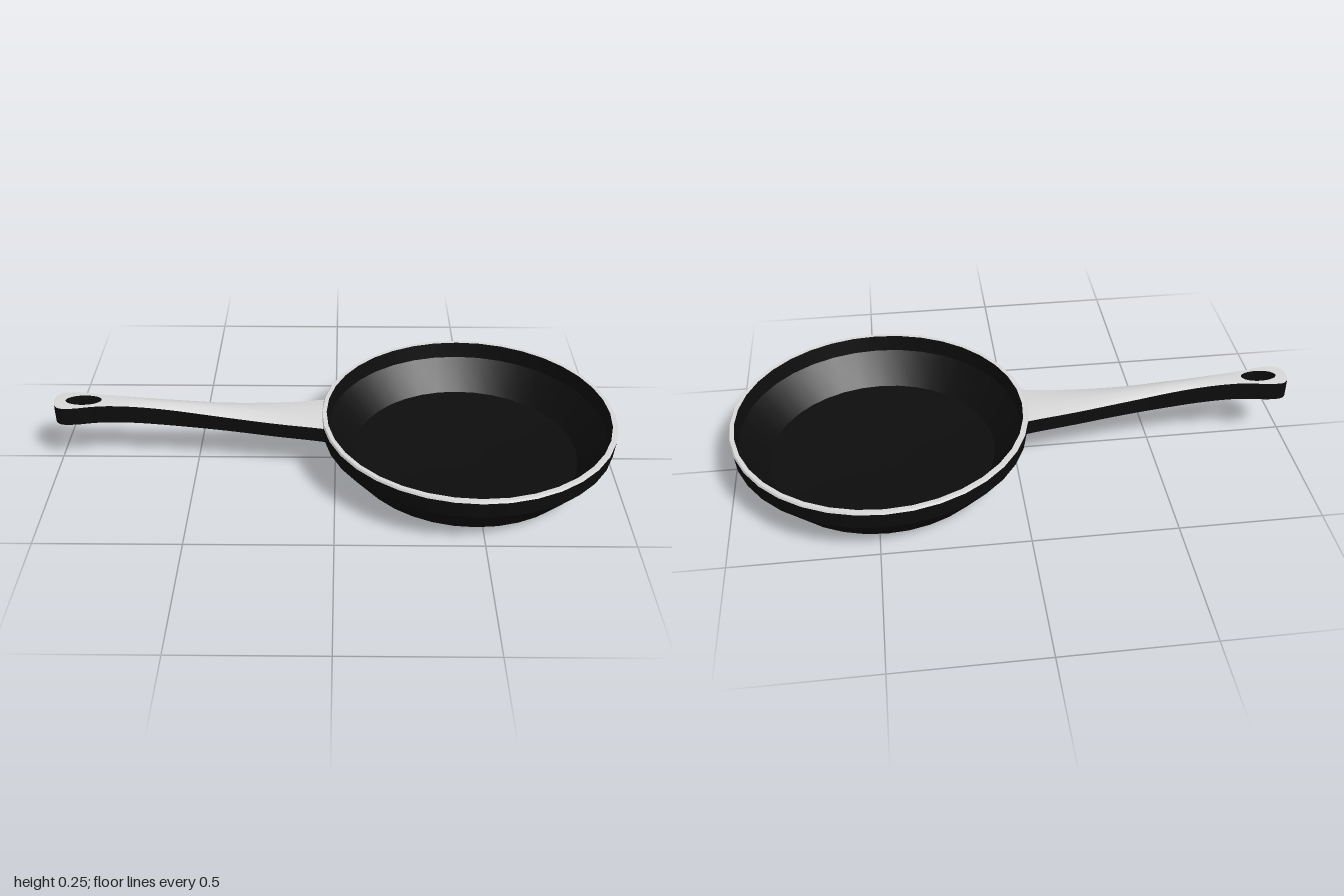
import * as THREE from 'three';
import { toCreasedNormals } from 'three/addons/utils/BufferGeometryUtils.js';

const CENTRE = 0.475; // pan centre on x

const black = new THREE.MeshStandardMaterial({ color: 0x0d0d0d });
black.name = 'black coating';
const steel = new THREE.MeshStandardMaterial({ color: 0xd8d8d8 });
steel.name = 'pale metal';

// Smooth curve through [x, value] points, evaluated at x (Hermite with averaged slopes)
function curve(pts) {
  const slope = (i) => {
    const a = pts[Math.max(i - 1, 0)], b = pts[Math.min(i + 1, pts.length - 1)];
    return (b[1] - a[1]) / (b[0] - a[0]);
  };
  return (x) => {
    let i = 0;
    while (i < pts.length - 2 && x > pts[i + 1][0]) i++;
    const [x0, y0] = pts[i], [x1, y1] = pts[i + 1], w = x1 - x0;
    const t = THREE.MathUtils.clamp((x - x0) / w, 0, 1), s = 1 - t;
    return y0 * (1 + 2 * t) * s * s + y1 * t * t * (3 - 2 * t)
      + w * (slope(i) * t * s * s - slope(i + 1) * t * t * s);
  };
}

// Handle profiles along x
const X0 = -1, X1 = -0.034;
const topMiddle = curve([[-1, 0.243], [-0.8, 0.245], [-0.6, 0.236], [-0.4, 0.218], [-0.2, 0.202], [-0.03, 0.197]]);
const topEdge = curve([[-1, 0.242], [-0.8, 0.242], [-0.6, 0.227], [-0.4, 0.206], [-0.2, 0.193], [-0.03, 0.19]]);
const underside = curve([[-1, 0.175], [-0.8, 0.174], [-0.6, 0.162], [-0.4, 0.15], [-0.2, 0.139], [-0.03, 0.135]]);
const widths = curve([[-0.96, 0.055], [-0.92, 0.054], [-0.86, 0.043], [-0.8, 0.036], [-0.7, 0.032],
  [-0.6, 0.034], [-0.4, 0.048], [-0.2, 0.072], [-0.1, 0.086], [-0.03, 0.098]]);
const outer = (x) => x < -0.96
  ? 0.055 * Math.pow(Math.max(0, 1 - ((-0.96 - x) / 0.04) ** 2), 0.4)
  : widths(x);
const HOLE = { x: -0.896, rx: 0.064, rz: 0.031 };
const inner = (x) => HOLE.rz * Math.sqrt(Math.max(0, 1 - ((x - HOLE.x) / HOLE.rx) ** 2));

// Stations crowd together at the rounded tip and at both ends of the hole
function stations() {
  const list = [];
  const span = (a, b, n) => {
    for (let i = 0; i < n; i++) list.push(a + (b - a) * (1 - Math.cos(Math.PI * i / n)) / 2);
  };
  span(X0, HOLE.x - HOLE.rx, 12);
  span(HOLE.x - HOLE.rx, HOLE.x + HOLE.rx, 20);
  span(HOLE.x + HOLE.rx, X1, 28);
  list.push(X1);
  return list;
}

// Grid over stations and a cross parameter v; side mirrors it in z
function strip(xs, nv, point, side, flip) {
  const pos = [], index = [];
  for (const x of xs) for (let j = 0; j <= nv; j++) {
    const [y, z] = point(x, j / nv);
    pos.push(x, y, z * side);
  }
  for (let i = 0; i < xs.length - 1; i++) for (let j = 0; j < nv; j++) {
    const a = i * (nv + 1) + j, b = a + 1, c = a + nv + 1, d = c + 1;
    if ((side > 0) !== flip) index.push(a, b, c, b, d, c);
    else index.push(a, c, b, b, c, d);
  }
  const g = new THREE.BufferGeometry();
  g.setAttribute('position', new THREE.Float32BufferAttribute(pos, 3));
  g.setIndex(index);
  g.computeVertexNormals();
  return g;
}

function topPoint(x, v) {
  const i = inner(x), o = outer(x), z = i + (o - i) * v;
  const k = o > 0 ? z / o : 1;
  return [THREE.MathUtils.lerp(topMiddle(x), topEdge(x), k * k), z];
}

function add(group, name, geometry, material) {
  const mesh = new THREE.Mesh(geometry, material);
  mesh.name = name;
  group.add(mesh);
}

function buildHandle() {
  const handle = new THREE.Group();
  handle.name = 'handle';
  const xs = stations();
  const holeXs = xs.filter((x) => Math.abs(x - HOLE.x) <= HOLE.rx + 1e-6);
  for (const side of [1, -1]) {
    const label = side > 0 ? 'Front' : 'Back';
    add(handle, 'handleTop' + label, strip(xs, 6, topPoint, side, false), steel);
    add(handle, 'handleUnderside' + label, strip(xs, 2,
      (x, v) => [underside(x), THREE.MathUtils.lerp(inner(x), outer(x), v)], side, true), black);
    add(handle, 'handleWall' + label, strip(xs, 1,
      (x, v) => [THREE.MathUtils.lerp(topEdge(x), underside(x), v), outer(x)], side, false), black);
    // Wall of the hanging hole
    add(handle, 'hangingHole' + label, strip(holeXs, 1,
      (x, v) => [THREE.MathUtils.lerp(topPoint(x, 0)[0], underside(x), v), inner(x)], side, true), black);
  }
  return handle;
}

// Turned part, profile listed so that its faces point outward
function turned(profile) {
  const g = new THREE.LatheGeometry(profile.map(([r, y]) => new THREE.Vector2(r, y)), 36);
  return toCreasedNormals(g, 0.5).translate(CENTRE, 0, 0);
}

export function createModel() {
  const model = new THREE.Group();
  model.name = 'fryingPan';
  const pan = new THREE.Group();
  pan.name = 'pan';
  add(pan, 'panOutside', turned([[0, 0], [0.28, 0], [0.42, 0.015], [0.52, 0.135], [0.525, 0.193]]), black);
  add(pan, 'panRim', turned([[0.525, 0.193], [0.521, 0.2], [0.506, 0.2]]), steel);
  add(pan, 'panInside', turned([[0.506, 0.2], [0.498, 0.14], [0.405, 0.034], [0.28, 0.025], [0, 0.025]]), black);
  model.add(pan, buildHandle());
  return model;
}
